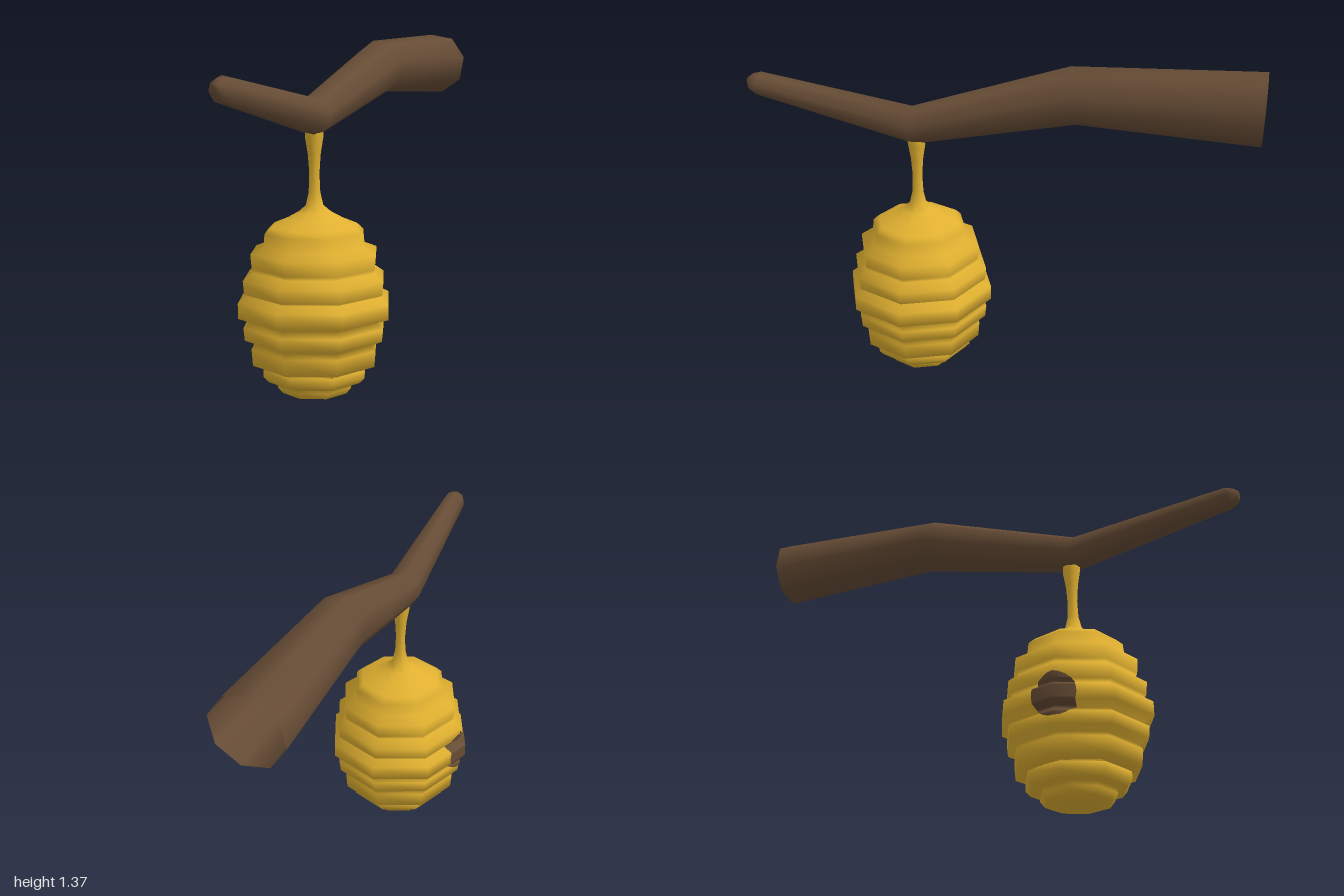
import * as THREE from 'three';

const honey = new THREE.MeshStandardMaterial({ color: 0xe0b030, side: THREE.DoubleSide });
honey.name = 'honey yellow';
const bark = new THREE.MeshStandardMaterial({ color: 0x664c35, side: THREE.DoubleSide });
bark.name = 'bark brown';

const SIDES = 8;
const HIVE_Z = 0.31;

// Hive outline from the base, over the ridges, up the stalk: [radius, y]
const PROFILE = [
  [0, 0], [0.07, 0.003], [0.13, 0.02], [0.15, 0.045], [0.145, 0.065],
  [0.185, 0.068], [0.205, 0.09], [0.205, 0.12], [0.19, 0.13],
  [0.245, 0.138], [0.25, 0.2], [0.235, 0.22],
  [0.275, 0.237], [0.28, 0.285], [0.25, 0.305],
  [0.3, 0.322], [0.3, 0.38], [0.255, 0.402],
  [0.275, 0.412], [0.28, 0.462], [0.24, 0.49],
  [0.245, 0.505], [0.25, 0.56], [0.2, 0.58],
  [0.195, 0.632], [0.17, 0.655], [0.11, 0.68], [0.065, 0.705], [0.035, 0.73],
  [0.023, 0.78], [0.02, 0.85], [0.025, 0.92], [0.036, 0.985], [0.036, 1.01],
];

// Grid of points (rows x cols) turned into a smooth surface
function gridGeometry(rows, wrap) {
  const cols = rows[0].length;
  const index = [];
  for (let j = 0; j < rows.length - 1; j++) {
    for (let i = 0; i < (wrap ? cols : cols - 1); i++) {
      const a = j * cols + i;
      const b = j * cols + ((i + 1) % cols);
      index.push(a, b, a + cols, b, b + cols, a + cols);
    }
  }
  const geometry = new THREE.BufferGeometry();
  geometry.setAttribute('position', new THREE.Float32BufferAttribute(rows.flat(2), 3));
  geometry.setIndex(index);
  geometry.computeVertexNormals();
  return geometry;
}

// Hive radius at a given height
function radiusAt(y) {
  const k = PROFILE.findIndex((p) => p[1] >= y);
  const [r0, y0] = PROFILE[k - 1];
  const [r1, y1] = PROFILE[k];
  return THREE.MathUtils.lerp(r0, r1, (y - y0) / (y1 - y0));
}

// Ridged hive with its stalk
function makeHive() {
  const points = PROFILE.map(([r, y]) => new THREE.Vector2(r, y));
  return new THREE.Mesh(new THREE.LatheGeometry(points, SIDES), honey);
}

// Round dark entrance that follows the ridges on the -x side
function makeEntrance() {
  const centre = 0.352, radius = 0.086;
  const heights = PROFILE.map((p) => p[1]).filter((y) => Math.abs(y - centre) < radius);
  for (let i = 0; i <= 12; i++) heights.push(centre - radius * Math.cos((i / 12) * Math.PI));
  heights.sort((a, b) => a - b);
  const slope = Math.tan(Math.PI / SIDES);
  const rows = heights.map((y) => {
    const w = Math.sqrt(Math.max(0, radius ** 2 - (y - centre) ** 2));
    return [-w, 0, w].map((z) => [-(radiusAt(y) - slope * Math.abs(z)) - 0.004, y, z]);
  });
  return new THREE.Mesh(gridGeometry(rows, false), bark);
}

// Bent, tapering branch, open at the thick end: [z, y, radius, tilt]
function makeBranch() {
  const sections = [
    [-1, 1.235, 0.136, 0],
    [-0.305, 1.233, 0.108, 0.15],
    [0.32, 1.063, 0.074, 0.1],
    [0.955, 1.184, 0.046, -0.25],
    [0.985, 1.188, 0.034, -0.2],
    [1, 1.19, 0.015, 0],
    [1, 1.19, 0, 0],
  ];
  const rows = sections.map(([z, y, r, tilt]) => {
    const ring = [];
    for (let i = 0; i < SIDES; i++) {
      const a = (i / SIDES) * Math.PI * 2 + 0.21;
      const dy = Math.sin(a) * r;
      ring.push([Math.cos(a) * r, y + dy, z + dy * tilt]);
    }
    return ring;
  });
  return new THREE.Mesh(gridGeometry(rows, true), bark);
}

export function createModel() {
  const model = new THREE.Group();
  model.name = 'hangingBeehive';

  const branch = makeBranch();
  branch.name = 'branch';

  const hiveGroup = new THREE.Group();
  hiveGroup.name = 'beehive';
  hiveGroup.position.z = HIVE_Z;
  const hive = makeHive();
  hive.name = 'hiveAndStalk';
  const entrance = makeEntrance();
  entrance.name = 'entrance';
  hiveGroup.add(hive, entrance);

  model.add(branch, hiveGroup);
  return model;
}
